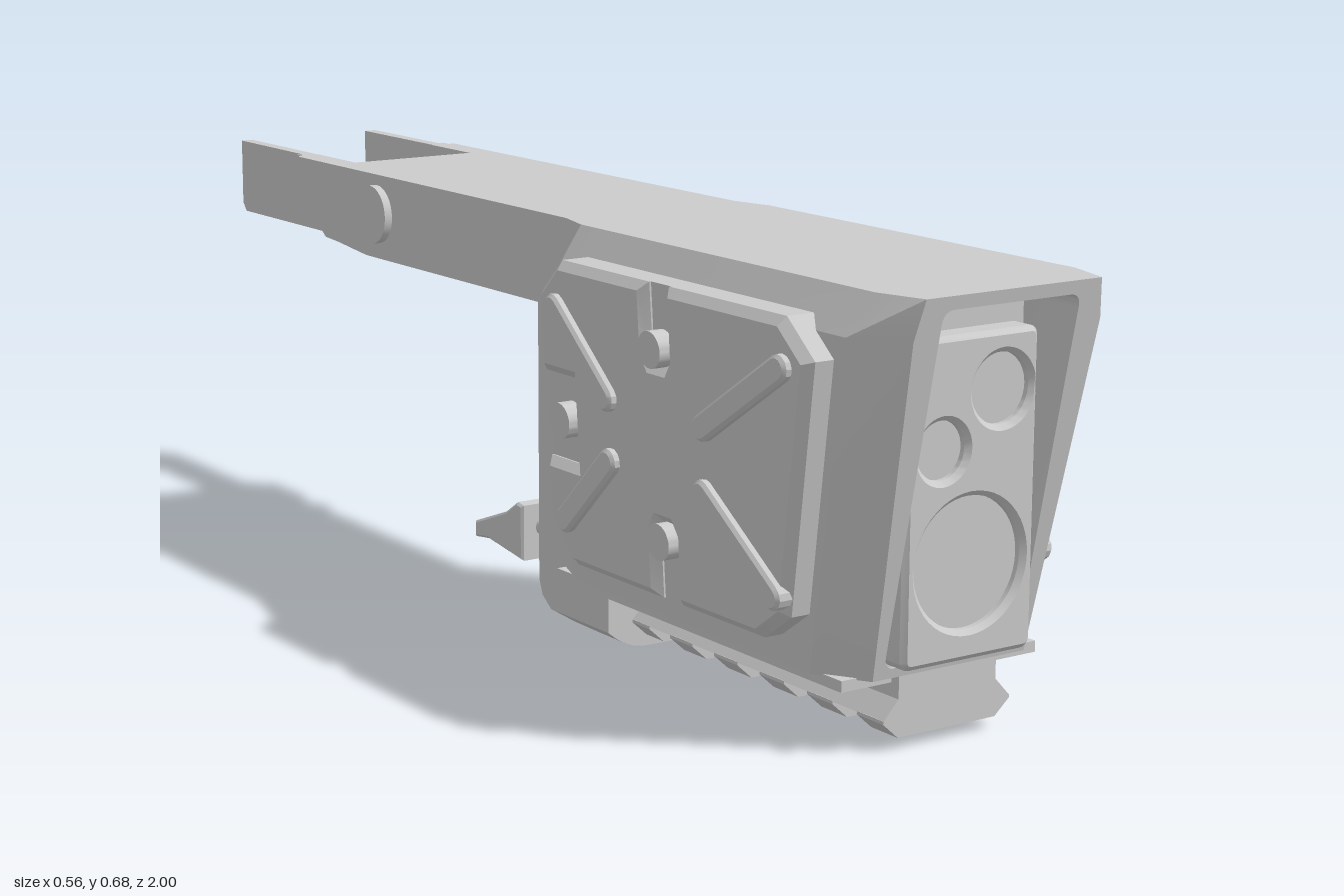
import * as THREE from 'three';
import { toCreasedNormals } from 'three/addons/utils/BufferGeometryUtils.js';

const grey = new THREE.MeshStandardMaterial({ color: 0xcccccc });

function add(parent, name, geo) {
  const mesh = new THREE.Mesh(toCreasedNormals(geo, 0.5), grey);
  mesh.name = name;
  parent.add(mesh);
  return mesh;
}

const shapeOf = pts => new THREE.Shape(pts.map(p => new THREE.Vector2(p[0], p[1])));

// Extrude a [z, y] outline across x, with optional chamfer on the x1 side and x0 side
function slab(pts, x0, x1, bevel = 0, steps = 1) {
  const geo = new THREE.ExtrudeGeometry(shapeOf(pts.map(([z, y]) => [-z, y])), {
    depth: x1 - x0 - 2 * bevel, steps, bevelEnabled: bevel > 0, bevelSegments: 1,
    bevelSize: bevel, bevelThickness: bevel, bevelOffset: -bevel,
  });
  return geo.rotateY(Math.PI / 2).translate(x0 + bevel, 0, 0);
}

// Cylinder lying along x
function pin(x0, x1, y, z, r) {
  return new THREE.CylinderGeometry(r, r, x1 - x0, 32).rotateZ(Math.PI / 2).translate((x0 + x1) / 2, y, z);
}

function box(x0, x1, y0, y1, z0, z1) {
  return new THREE.BoxGeometry(x1 - x0, y1 - y0, z1 - z0).translate((x0 + x1) / 2, (y0 + y1) / 2, (z0 + z1) / 2);
}

// Mirror across x = 0 and restore the winding
function mirrored(source) {
  const geo = source.index ? source.toNonIndexed() : source.clone();
  geo.scale(-1, 1, 1);
  const p = geo.attributes.position;
  const a = new THREE.Vector3(), b = new THREE.Vector3();
  for (let i = 0; i < p.count; i += 3) {
    a.fromBufferAttribute(p, i + 1);
    b.fromBufferAttribute(p, i + 2);
    p.setXYZ(i + 1, b.x, b.y, b.z);
    p.setXYZ(i + 2, a.x, a.y, a.z);
  }
  return geo;
}

function addPair(parent, name, geo) {
  add(parent, name + 'Left', geo);
  add(parent, name + 'Right', mirrored(geo));
}

function roundedRect(path, x0, x1, y0, y1, r) {
  path.moveTo(x0 + r, y0);
  path.lineTo(x1 - r, y0).quadraticCurveTo(x1, y0, x1, y0 + r);
  path.lineTo(x1, y1 - r).quadraticCurveTo(x1, y1, x1 - r, y1);
  path.lineTo(x0 + r, y1).quadraticCurveTo(x0, y1, x0, y1 - r);
  path.lineTo(x0, y0 + r).quadraticCurveTo(x0, y0, x0 + r, y0);
  return path;
}

const frontZ = y => 0.88 + 0.212 * (y - 0.11);
// Housing levels: [y, half width, half width of the front face]
const levels = [[0.11, 0.19, 0.14], [0.615, 0.22, 0.168], [0.675, 0.18, 0.157]];

function housingShell() {
  const pos = [], index = [];
  for (const [y, w, wf] of levels) {
    const f = frontZ(y);
    const half = [[wf, f], [w, f - 0.08], [w, 0.2], [0.16, 0.12]];
    const ring = [...half, ...half.map(([x, z]) => [-x, z]).reverse()];
    ring.forEach(([x, z]) => pos.push(x, y, z));
  }
  // Sides, leaving the front open for the frame
  for (let l = 0; l < 2; l++) for (let i = 0; i < 7; i++) {
    const a = l * 8 + i;
    index.push(a, a + 1, a + 9, a, a + 9, a + 8);
  }
  for (let i = 1; i < 7; i++) index.push(16, 16 + i, 17 + i, 0, i + 1, i);
  const geo = new THREE.BufferGeometry();
  geo.setAttribute('position', new THREE.Float32BufferAttribute(pos, 3));
  geo.setIndex(index);
  return geo;
}

function addFront(g) {
  // Sloping frame around the sensor pocket
  const outline = shapeOf([...levels.map(l => [l[2], l[0]]), ...levels.map(l => [-l[2], l[0]]).reverse()]);
  outline.holes.push(roundedRect(new THREE.Path(), -0.123, 0.123, 0.125, 0.655, 0.02));
  const frame = new THREE.ExtrudeGeometry(outline, { depth: 1, bevelEnabled: false, curveSegments: 6 });
  const p = frame.attributes.position;
  for (let i = 0; i < p.count; i++) p.setZ(i, p.getZ(i) > 0.5 ? frontZ(p.getY(i)) : 0.86);
  add(g, 'frontFrame', frame);
  add(g, 'pocketBack', box(-0.13, 0.13, 0.118, 0.665, 0.84, 0.878));

  // Upright sensor plate with chamfered lens openings
  const lenses = [[0.053, 0.515, 0.052], [-0.053, 0.438, 0.043], [0, 0.27, 0.097]];
  const plate = roundedRect(new THREE.Shape(), -0.119, 0.119, 0.128, 0.6, 0.018);
  for (const [x, y, r] of lenses) plate.holes.push(new THREE.Path().absarc(x, y, r, 0, Math.PI * 2, true));
  add(g, 'sensorPlate', new THREE.ExtrudeGeometry(plate, {
    depth: 0.036, bevelSize: 0.008, bevelThickness: 0.008, bevelOffset: -0.008, bevelSegments: 1, curveSegments: 24,
  }).translate(0, 0, 0.876));
  for (const [x, y, r] of lenses) {
    add(g, 'lens', new THREE.CylinderGeometry(r + 0.002, r + 0.002, 0.03, 48).rotateX(Math.PI / 2).translate(x, y, 0.889));
  }
}

function addSidePanels(g) {
  // Panels lean with the housing walls
  const lean = geo => {
    const p = geo.attributes.position;
    for (let i = 0; i < p.count; i++) p.setX(i, p.getX(i) + (p.getY(i) - 0.4) * 0.06);
    return geo;
  };
  const base = [[0.88, 0.58], [0.82, 0.635], [0.26, 0.635], [0.2, 0.58], [0.2, 0.22], [0.26, 0.155], [0.74, 0.155], [0.805, 0.2]];
  addPair(g, 'panelBase', lean(slab(base, 0.17, 0.236)));
  // Outer layer with three notches
  const outer = [
    [0.88, 0.58], [0.82, 0.635],
    [0.54, 0.635], [0.54, 0.53], [0.53, 0.515], [0.5, 0.515], [0.49, 0.53], [0.49, 0.635],
    [0.26, 0.635], [0.2, 0.58],
    [0.2, 0.455], [0.285, 0.455], [0.285, 0.32], [0.2, 0.32],
    [0.2, 0.22], [0.26, 0.155],
    [0.49, 0.155], [0.49, 0.26], [0.5, 0.275], [0.53, 0.275], [0.54, 0.26], [0.54, 0.155],
    [0.74, 0.155], [0.805, 0.2]];
  addPair(g, 'panelFace', lean(slab(outer, 0.215, 0.253, 0.014)));
  for (const [z, y] of [[0.515, 0.54], [0.515, 0.25], [0.263, 0.388]]) {
    addPair(g, 'panelButton', lean(pin(0.22, 0.263, y, z, 0.028)));
  }
  // Diagonal ribs with rounded ends
  const ribs = [[0.825, 0.565, 0.635, 0.445], [0.39, 0.445, 0.26, 0.565], [0.79, 0.23, 0.63, 0.348], [0.39, 0.348, 0.26, 0.23]];
  for (const [z0, y0, z1, y1] of ribs) {
    const a = Math.atan2(y1 - y0, z1 - z0), r = 0.02, pts = [];
    for (let i = 0; i <= 6; i++) pts.push([z1 + r * Math.cos(a - Math.PI / 2 + i * Math.PI / 6), y1 + r * Math.sin(a - Math.PI / 2 + i * Math.PI / 6)]);
    for (let i = 0; i <= 6; i++) pts.push([z0 + r * Math.cos(a + Math.PI / 2 + i * Math.PI / 6), y0 + r * Math.sin(a + Math.PI / 2 + i * Math.PI / 6)]);
    addPair(g, 'panelRib', lean(slab(pts, 0.235, 0.267, 0.005)));
  }
}

function addRail(g) {
  add(g, 'railFlange', box(-0.18, 0.18, 0.096, 0.113, 0.13, 0.86));
  const section = (pts, z0, z1) => new THREE.ExtrudeGeometry(
    shapeOf([...pts, ...pts.map(([x, y]) => [-x, y]).reverse()]), { depth: z1 - z0, bevelEnabled: false }).translate(0, 0, z0);
  add(g, 'railBase', section([[0.09, 0.112], [0.09, 0.075], [0.117, 0.046]], 0.2, 0.877));
  for (let i = 0; i < 6; i++) {
    const z = 0.877 - i * 0.116;
    add(g, 'railTooth', section([[0.117, 0.047], [0.117, 0.042], [0.09, 0.018]], z - 0.06, z));
  }
}

function addArm(g) {
  // Arm and rear block in one L-shaped piece with a rounded foot
  const profile = [[0.25, 0.675], [-0.615, 0.675], [-0.65, 0.545], [-0.6, 0.54], [-0.5, 0.53], [0.05, 0.53],
    [0.05, 0.075], [0.06, 0.05], [0.085, 0.032], [0.13, 0.015], [0.18, 0.004], [0.25, 0], [0.25, 0.11]];
  const arm = slab(profile, -0.163, 0.163, 0, 20);
  const p = arm.attributes.position;
  for (let i = 0; i < p.count; i++) {
    const t = Math.max(0, (Math.abs(p.getX(i)) - 0.09) / 0.073);
    p.setY(i, Math.max(p.getY(i), 0.032 * t * t));
  }
  add(g, 'armAndRearBlock', arm);
  // Fork at the rear end, thick root stepping to thin tines
  addPair(g, 'forkRoot', slab([[-0.6, 0.675], [-0.745, 0.675], [-0.72, 0.65], [-0.67, 0.56], [-0.645, 0.543], [-0.6, 0.54]], 0.118, 0.163));
  addPair(g, 'forkTine', slab([[-0.6, 0.675], [-1, 0.675], [-1, 0.56], [-0.988, 0.545], [-0.6, 0.545]], 0.12, 0.142));
  addPair(g, 'forkStep', slab([[-0.7, 0.675], [-0.765, 0.675], [-0.74, 0.65], [-0.69, 0.56], [-0.66, 0.545], [-0.6, 0.545]], 0.125, 0.152));

  // Thumb lever on the left, pivot cap on the right
  add(g, 'leverDisc', pin(0.15, 0.178, 0.607, -0.455, 0.055));
  add(g, 'leverPin', pin(0.15, 0.184, 0.556, -0.45, 0.02));
  add(g, 'leverGrip', slab([[-0.46, 0.635], [-0.62, 0.63], [-0.64, 0.61], [-0.635, 0.575], [-0.61, 0.555], [-0.5, 0.56]], 0.155, 0.192, 0.008));
  for (let i = 0; i < 5; i++) {
    const y = 0.57 + i * 0.0125;
    add(g, 'leverRidge', box(0.18, 0.199, y, y + 0.006, -0.635, -0.53));
  }
  add(g, 'pivotCap', pin(-0.177, -0.15, 0.607, -0.46, 0.05));

  // Paddles behind the rear block
  addPair(g, 'paddle', slab([[0.022, 0.192], [0.005, 0.195], [-0.03, 0.172], [-0.125, 0.137], [-0.125, 0.11], [-0.085, 0.115], [0.022, 0.1]], 0.105, 0.178, 0.004));
  addPair(g, 'paddleStem', new THREE.CylinderGeometry(0.016, 0.016, 0.06, 20).rotateX(Math.PI / 2).translate(0.135, 0.153, 0.04));
}

export function createModel() {
  const g = new THREE.Group();
  g.name = 'sensorModule';
  add(g, 'housing', housingShell());
  addFront(g);
  addSidePanels(g);
  addRail(g);
  addArm(g);
  return g;
}
